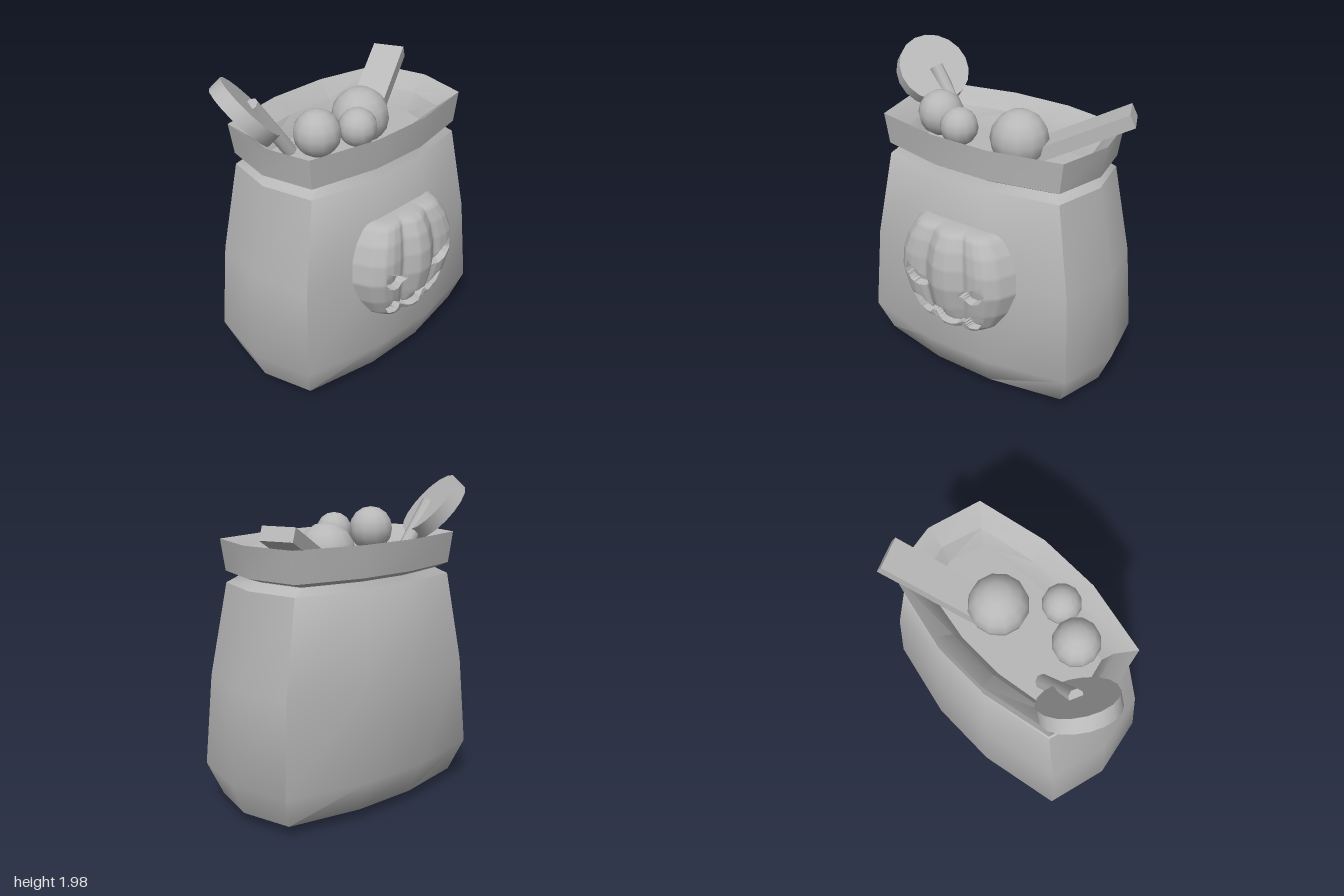
import * as THREE from 'three';
import { toCreasedNormals } from 'three/addons/utils/BufferGeometryUtils.js';

const MID_Z = -0.075;

// Skin a grid of points; rows run upward, columns from +x toward +z
function skin(rows, closed, crease) {
  const n = rows[0].length, index = [];
  for (let i = 0; i < rows.length - 1; i++) {
    for (let j = 0; j < (closed ? n : n - 1); j++) {
      const a = i * n + j, b = i * n + (j + 1) % n;
      index.push(a, a + n, b, b, a + n, b + n);
    }
  }
  const g = new THREE.BufferGeometry();
  g.setAttribute('position', new THREE.Float32BufferAttribute(rows.flat(2), 3));
  g.setIndex(index);
  return toCreasedNormals(g, crease);
}

// Linear interpolation in a table of [key, value, ...]
function lookup(table, key, column) {
  let i = 1;
  while (i < table.length - 1 && table[i][0] < key) i++;
  const a = table[i - 1], b = table[i];
  const t = THREE.MathUtils.clamp((key - a[0]) / (b[0] - a[0]), 0, 1);
  return a[column] + (b[column] - a[column]) * t;
}

// Ten-sided bag outline
const OUTLINE = [[0.84, 0], [0.75, 0.39], [0.23, 0.5], [-0.23, 0.5], [-0.75, 0.39],
  [-0.84, 0], [-0.75, -0.39], [-0.23, -0.5], [0.23, -0.5], [0.75, -0.39]];
const ring = ([y, sx, sz]) => OUTLINE.map(([x, z]) => [x * sx, y, MID_Z + z * sz]);

// Pumpkin relief: [height, half width, front depth] and [side position, bulge]
const PROFILE = [[0.475, 0.17, 0.42], [0.49, 0.23, 0.495], [0.54, 0.31, 0.515], [0.65, 0.375, 0.545],
  [0.79, 0.415, 0.573], [0.92, 0.4, 0.57], [1.03, 0.36, 0.545], [1.11, 0.305, 0.505],
  [1.13, 0.28, 0.475], [1.14, 0.25, 0.4]];
const RIBS = [[0, 1], [0.11, 0.99], [0.22, 0.88], [0.34, 0.74], [0.45, 0.81], [0.6, 0.82],
  [0.74, 0.76], [0.88, 0.52], [1, 0]];
const mirror = (points) => points.map(([x, y]) => [-x, y]);
const EYE = [[0.285, 0.87], [0.1, 0.765], [0.14, 0.73], [0.2, 0.72], [0.26, 0.745], [0.295, 0.8]];
const HALF_MOUTH = [[0.055, 0.635], [0.13, 0.575], [0.205, 0.635], [0.278, 0.63], [0.215, 0.52],
  [0.15, 0.515], [0.12, 0.55], [0.06, 0.515]];
const CUTS = [EYE, mirror(EYE), [...HALF_MOUTH, ...mirror(HALF_MOUTH).reverse()]];

function inside([x, y], poly) {
  let hit = false;
  poly.forEach(([ax, ay], i) => {
    const [bx, by] = poly[(i + 1) % poly.length];
    if ((ay > y) !== (by > y) && x < ax + (bx - ax) * (y - ay) / (by - ay)) hit = !hit;
  });
  return hit;
}

// Closest point on a polygon's outline, with its distance
function nearest([x, y], poly) {
  let best = { d: Infinity };
  poly.forEach(([ax, ay], i) => {
    const [bx, by] = poly[(i + 1) % poly.length];
    const dx = bx - ax, dy = by - ay;
    const t = THREE.MathUtils.clamp(((x - ax) * dx + (y - ay) * dy) / (dx * dx + dy * dy), 0, 1);
    const p = [ax + dx * t, ay + dy * t];
    const d = Math.hypot(p[0] - x, p[1] - y);
    if (d < best.d) best = { d, p };
  });
  return best;
}

function pumpkinGeometry() {
  const COLS = 80, ROWS = 64, BACK = 0.34, rows = [];
  const y0 = PROFILE[0][0], y1 = PROFILE[PROFILE.length - 1][0];
  for (let i = -1; i <= ROWS + 1; i++) {
    const t = THREE.MathUtils.clamp(i / ROWS, 0, 1), row = [];
    for (let j = 0; j <= COLS; j++) {
      const u = 1 - 2 * j / COLS, gy = y0 + (y1 - y0) * t;
      let p = [u * lookup(PROFILE, gy, 1), gy], sunk = 0;
      for (const cut of CUTS) {
        const edge = nearest(p, cut);
        if (edge.d < 0.0055) p = edge.p;
        else if (inside(p, cut)) sunk = 0.05;
      }
      const [x, y] = p;
      const bulge = lookup(RIBS, Math.abs(x) / lookup(PROFILE, y, 1), 1);
      const z = BACK + (lookup(PROFILE, y, 2) - BACK) * bulge - sunk;
      row.push([x, y, i < 0 || i > ROWS ? BACK : z]);
    }
    // columns run from +x to -x across the front
    rows.push(row);
  }
  return skin(rows, false, 0.7);
}

export function createModel() {
  const model = new THREE.Group();
  const grey = new THREE.MeshStandardMaterial({ color: 0xb8b8b8 });
  grey.name = 'plain grey';
  const add = (name, geometry) => {
    const mesh = new THREE.Mesh(geometry, grey);
    mesh.name = name;
    model.add(mesh);
    return mesh;
  };

  // Bag body, from the bottom to the pinched neck
  add('bagBody', skin([
    [0.005, 0, 0], [0.005, 0.53, 0.39], [0.07, 0.9, 0.83], [0.27, 1, 1], [0.83, 0.95, 0.93],
    [1.39, 0.82, 0.82], [1.43, 0.72, 0.74], [1.45, 0.72, 0.74],
  ].map(ring), true, 0.9));

  // Folded rim with its sloping lip, inner wall and floor
  add('bagRim', skin([
    [1.43, 0.71, 0.73], [1.46, 0.82, 0.83], [1.65, 0.855, 0.86],
    [1.56, 0.725, 0.64], [1.44, 0.665, 0.54], [1.44, 0, 0],
  ].map(ring), true, 0.5));

  add('pumpkinFace', pumpkinGeometry());

  // Round sweets: x, y, z, radius
  [[0.12, 1.555, -0.085, 0.18], [-0.37, 1.65, 0.045, 0.14], [-0.15, 1.645, 0.15, 0.115]]
    .forEach(([x, y, z, r], i) => {
      add('roundSweet' + (i + 1), new THREE.SphereGeometry(r, 12, 8)).position.set(x, y, z);
    });

  // Lollipop: a tilted disc with a stick lying across its face
  const up = new THREE.Vector3(0, 1, 0);
  const disc = add('lollipopDisc',
    toCreasedNormals(new THREE.CylinderGeometry(0.228, 0.228, 0.09, 18), 0.7));
  disc.position.set(-0.655, 1.785, -0.23);
  disc.quaternion.setFromUnitVectors(up, new THREE.Vector3(0.64, 0.66, 0.35).normalize());
  const from = new THREE.Vector3(-0.62, 1.82, -0.22), to = new THREE.Vector3(-0.36, 1.45, -0.2);
  const stick = add('lollipopStick',
    toCreasedNormals(new THREE.CylinderGeometry(0.045, 0.045, from.distanceTo(to), 8), 0.9));
  stick.position.copy(from).add(to).multiplyScalar(0.5);
  stick.quaternion.setFromUnitVectors(up, from.clone().sub(to).normalize());

  // Flat bar leaning out over the back left corner
  const along = new THREE.Vector3(0.82, 0.43, -0.38).normalize();
  const across = new THREE.Vector3(0.42, 0, 0.91).normalize();
  const normal = new THREE.Vector3().crossVectors(across, along).normalize();
  const bar = add('candyBar', new THREE.BoxGeometry(0.66, 0.085, 0.2));
  bar.quaternion.setFromRotationMatrix(new THREE.Matrix4().makeBasis(along, normal, across));
  bar.position.set(0.715, 1.742, -0.38).addScaledVector(along, -0.33);

  return model;
}
